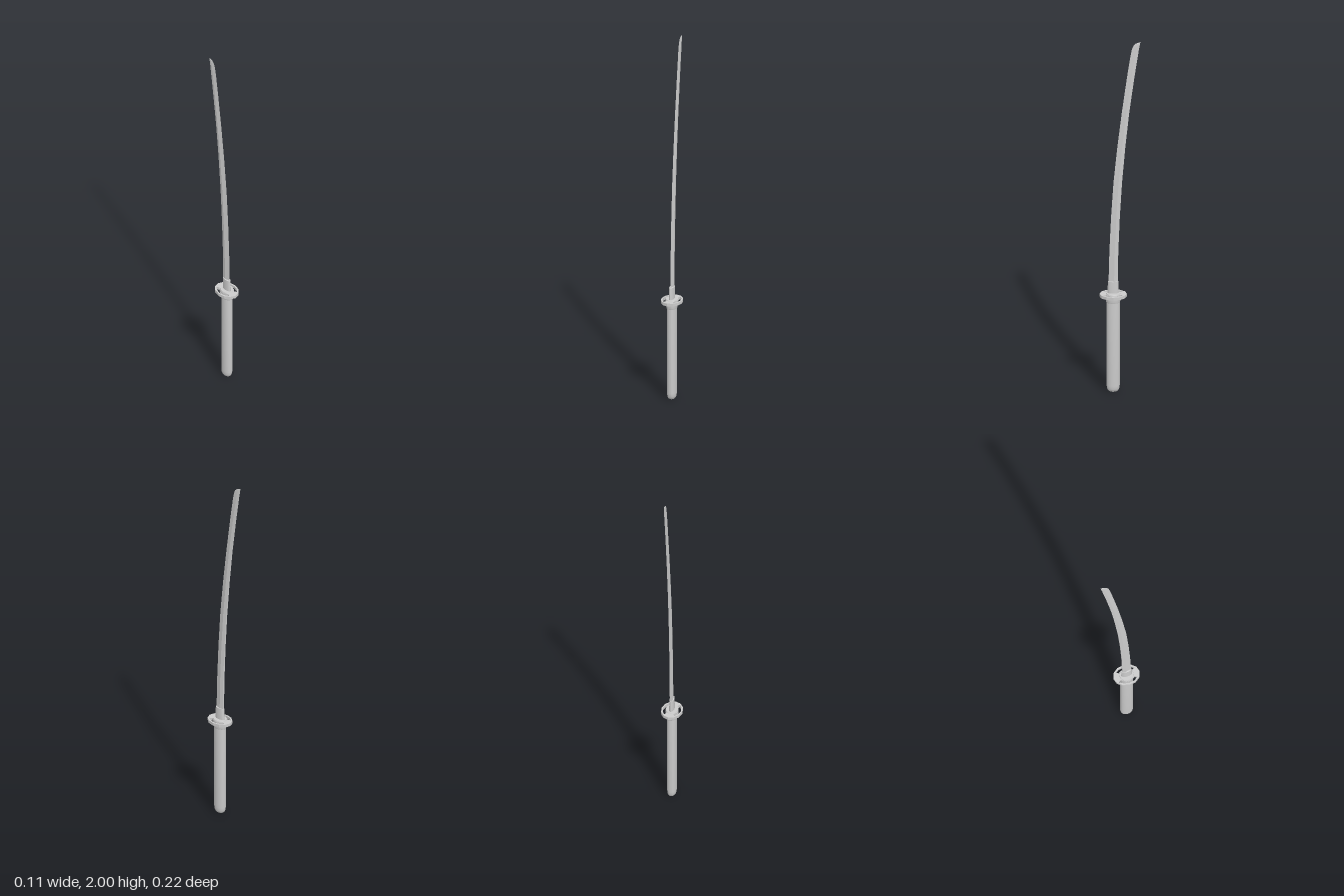
import * as THREE from 'three';
import { toCreasedNormals } from 'three/addons/utils/BufferGeometryUtils.js';

const CZ = 0.036; // depth of the hilt axis

export function createModel() {
  const group = new THREE.Group();
  const grey = new THREE.MeshStandardMaterial({ color: 0xcccccc });

  function add(name, geometry, crease = 0.7) {
    const mesh = new THREE.Mesh(toCreasedNormals(geometry, crease), grey);
    mesh.name = name;
    group.add(mesh);
    return mesh;
  }

  // Oval turned part: profile of [radius fraction, y], half-widths rx and rz
  function oval(name, profile, rx, rz, z = CZ, sides = 20) {
    const g = new THREE.LatheGeometry(profile.map(([r, y]) => new THREE.Vector2(r, y)), sides);
    g.scale(rx, 1, rz);
    g.translate(0, 0, z);
    return add(name, g);
  }

  // Handle with rounded butt
  oval('handle', [[0, 0], [0.6, 0], [0.8, 0.006], [0.93, 0.016], [1, 0.035], [1, 0.52], [0, 0.52]], 0.025, 0.035);

  // Collar and washers on either side of the guard
  oval('handleCollar', [[0, 0.51], [0.95, 0.51], [1, 0.515], [1, 0.54], [0, 0.54]], 0.028, 0.038);
  oval('lowerWasher', [[0, 0.536], [1, 0.536], [1, 0.545], [0, 0.545]], 0.035, 0.04);
  oval('upperWasher', [[0, 0.555], [1, 0.555], [0.92, 0.563], [0, 0.563]], 0.035, 0.04);

  // Twelve-sided guard with a crescent opening on each side
  const rim = [];
  for (let i = 0; i < 12; i++) {
    const a = (i * Math.PI) / 6;
    rim.push(new THREE.Vector2(0.057 * Math.cos(a), 0.072 * Math.sin(a)));
  }
  const guard = new THREE.Shape(rim);
  const opening = [[0.028, -0.052], [0.042, -0.03], [0.049, 0], [0.042, 0.03], [0.028, 0.052],
    [0.019, 0.038], [0.03, 0.021], [0.034, 0], [0.03, -0.021], [0.019, -0.038]];
  for (const s of [1, -1]) {
    guard.holes.push(new THREE.Path(opening.map(([x, z]) => new THREE.Vector2(s * x, z))));
  }
  const guardGeometry = new THREE.ExtrudeGeometry(guard, { depth: 0.016, bevelEnabled: false });
  guardGeometry.rotateX(Math.PI / 2);
  guardGeometry.translate(0, 0.558, CZ);
  add('guard', guardGeometry, 0.4);

  // Sleeve at the root of the blade
  oval('bladeSleeve', [[0, 0.555], [1, 0.555], [0.93, 0.628], [0, 0.63]], 0.013, 0.03, CZ, 16);

  // Curved blade: stations of [y, front edge z, spine z, half thickness]
  const stations = [
    [0.56, 0.062, 0.013, 0.008], [0.8, 0.056, 0.009, 0.008], [1.0, 0.047, 0.001, 0.008],
    [1.2, 0.034, -0.011, 0.0075], [1.4, 0.014, -0.028, 0.007], [1.6, -0.01, -0.049, 0.0065],
    [1.8, -0.037, -0.076, 0.005], [1.92, -0.055, -0.094, 0.004], [1.96, -0.063, -0.1, 0.0035],
    [1.98, -0.071, -0.104, 0.003], [1.992, -0.083, -0.106, 0.002], [2.0, -0.107, -0.108, 0.0003],
  ];
  const positions = [];
  const indices = [];
  stations.forEach(([y, edge, spine, t], i) => {
    const ridge = spine + (edge - spine) * 0.4;
    const ring = [[0, edge], [t, ridge], [t * 0.6, spine], [-t * 0.6, spine], [-t, ridge]];
    ring.forEach(([x, z]) => positions.push(x, y, z));
    if (i === 0) return;
    for (let j = 0; j < 5; j++) {
      const k = (j + 1) % 5;
      const lo = (i - 1) * 5;
      const hi = i * 5;
      indices.push(lo + j, lo + k, hi + k, lo + j, hi + k, hi + j);
    }
  });
  const blade = new THREE.BufferGeometry();
  blade.setAttribute('position', new THREE.Float32BufferAttribute(positions, 3));
  blade.setIndex(indices);
  add('blade', blade, 0.2);

  return group;
}
